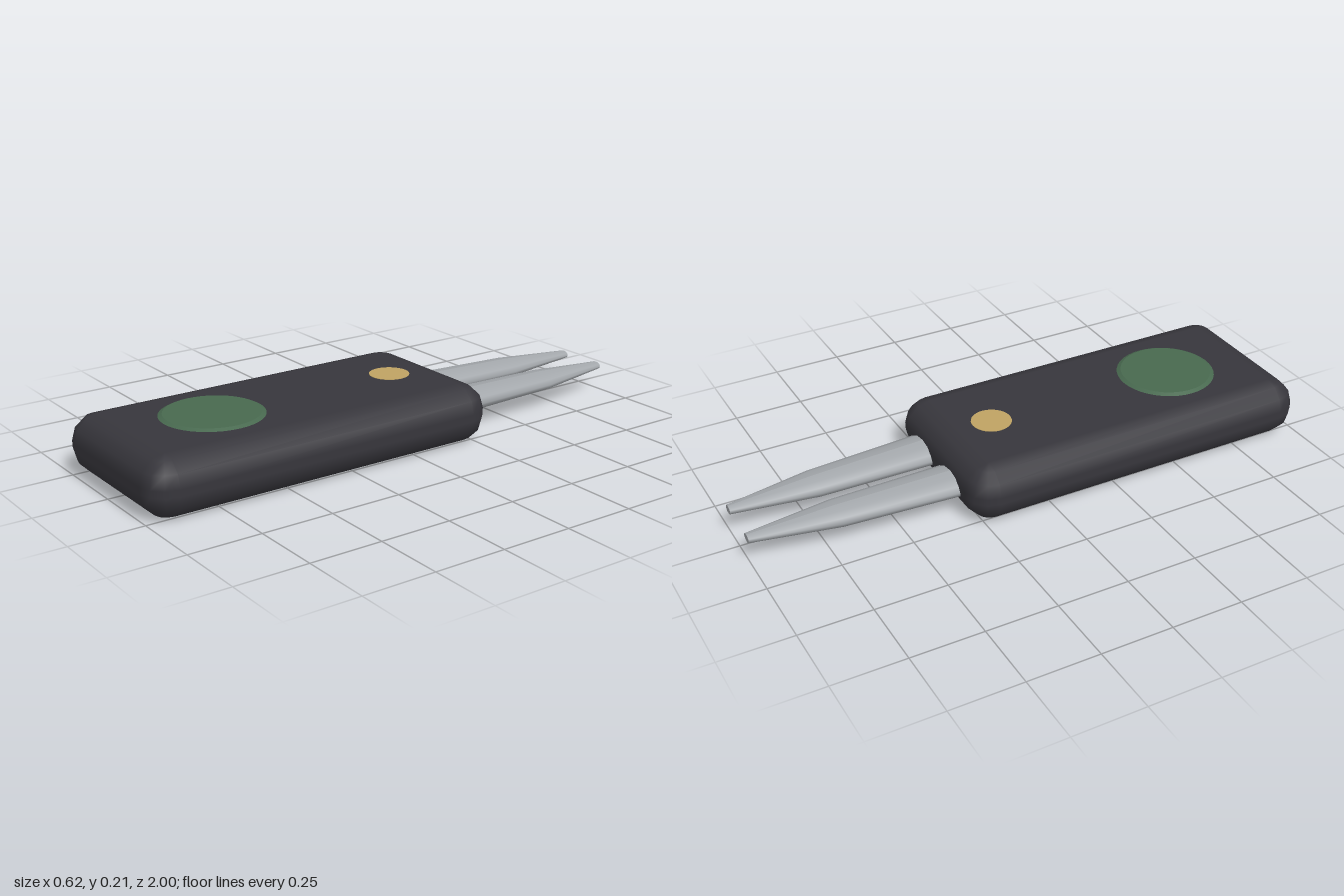
import * as THREE from 'three';

const paint = (name, color) => {
  const m = new THREE.MeshStandardMaterial({ color });
  m.name = name;
  return m;
};

// Box with edges rounded by three facets, smooth normals; bent from a flat grid
function roundedBlock(w, h, d, r) {
  const lats = [90, 90, 60, 30, 0, 0, -30, -60, -90, -90];
  const signs = [[1, 1], [1, -1], [-1, -1], [-1, 1]];
  const geo = new THREE.PlaneGeometry(1, 1, 16, lats.length - 1);
  const pos = geo.attributes.position, nor = geo.attributes.normal;
  for (let i = 0; i < pos.count; i++) {
    const col = (i % 17) % 16, row = Math.floor(i / 17);
    const quarter = Math.floor(col / 4);
    const a = THREE.MathUtils.degToRad(quarter * 90 + (col % 4) * 30);
    const lat = THREE.MathUtils.degToRad(lats[row]);
    const n = new THREE.Vector3(Math.sin(a) * Math.cos(lat), Math.sin(lat), Math.cos(a) * Math.cos(lat));
    const spread = row === 0 || row === lats.length - 1 ? 0 : 1; // end rows close the flat faces
    const [sx, sz] = signs[quarter];
    pos.setXYZ(i,
      spread * sx * (w / 2 - r) + n.x * r,
      (row < 5 ? 1 : -1) * (h / 2 - r) + n.y * r,
      spread * sz * (d / 2 - r) + n.z * r);
    nor.setXYZ(i, n.x, n.y, n.z);
  }
  return geo;
}

// Tapering oval prong, one ring per entry: z, centre x, centre y, half width, half height
function prongGeometry(side) {
  const rings = [
    [-0.22, 0.108, 0.09, 0.086, 0.042],
    [-0.70, 0.096, 0.088, 0.069, 0.033],
    [-1.00, 0.088, 0.088, 0.022, 0.014],
  ];
  const geo = new THREE.CylinderGeometry(1, 1, 2, 12, 2);
  geo.rotateX(-Math.PI / 2);
  const pos = geo.attributes.position;
  for (let i = 0; i < pos.count; i++) {
    const [z, cx, cy, rx, ry] = rings[Math.round(1 - pos.getZ(i))];
    pos.setXYZ(i, side * cx + pos.getX(i) * rx, cy + pos.getY(i) * ry, z);
  }
  geo.computeVertexNormals();
  return geo;
}

export function createModel() {
  const group = new THREE.Group();
  const casing = paint('charcoal casing', 0x37363c);
  const steel = paint('grey steel', 0xa3a7ab);
  const green = paint('dark green', 0x48694f);
  const brass = paint('brass', 0xbfa363);

  const add = (name, geo, mat, x = 0, y = 0, z = 0) => {
    const mesh = new THREE.Mesh(geo, mat);
    mesh.name = name;
    mesh.position.set(x, y, z);
    group.add(mesh);
  };

  // Handle body
  add('body', roundedBlock(0.62, 0.203, 1.3, 0.09), casing, 0, 0.1015, 0.35);

  // Raised round badge and small flush stud on the top face
  add('badge', new THREE.CylinderGeometry(0.16, 0.178, 0.009, 40), green, 0, 0.2055, 0.62);
  add('stud', new THREE.CylinderGeometry(0.07, 0.07, 0.004, 32), brass, 0, 0.2025, -0.085);

  // Pair of prongs at the back
  add('leftProng', prongGeometry(1), steel);
  add('rightProng', prongGeometry(-1), steel);

  return group;
}
